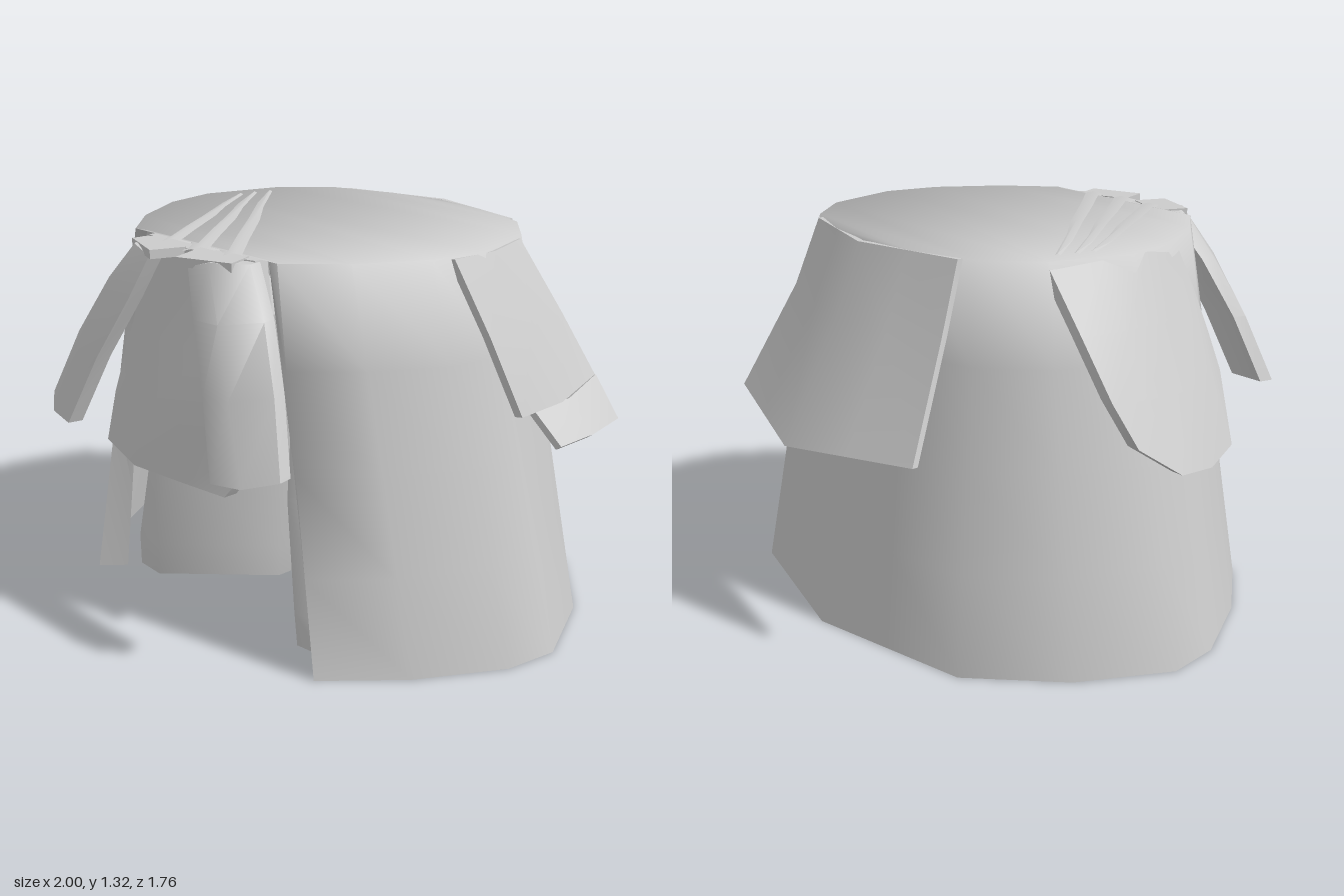
import * as THREE from 'three';
import { toCreasedNormals } from 'three/addons/utils/BufferGeometryUtils.js';

const cloth = new THREE.MeshStandardMaterial({ color: 0xcccccc, side: THREE.DoubleSide });
cloth.name = 'grey cloth';

// Skin a list of rings; each cap is a strip joining opposite points of its ring.
function loft(rings, { closed = true, capStart = false, capEnd = false, crease = 0.9 } = {}) {
  const n = rings[0].length, index = [];
  for (let i = 0; i < rings.length - 1; i++) {
    for (let j = 0; j < (closed ? n : n - 1); j++) {
      const a = i * n + j, b = i * n + (j + 1) % n;
      index.push(a, b, a + n, b, b + n, a + n);
    }
  }
  const cap = (base, flip) => {
    for (let j = 0; j < Math.floor(n / 2) - 1 + (n % 2); j++) {
      const a = base + j, b = a + 1, c = base + n - 2 - j, d = base + n - 1 - j;
      if (flip) index.push(a, c, b, a, d, c);
      else index.push(a, b, c, a, c, d);
    }
  };
  if (capStart) cap(0, true);
  if (capEnd) cap((rings.length - 1) * n, false);
  const g = new THREE.BufferGeometry();
  g.setAttribute('position', new THREE.Float32BufferAttribute(rings.flat(2), 3));
  g.setIndex(index);
  return toCreasedNormals(g, crease);
}

// Thick cloth sheet: rows of points, doubled by an inward offset.
function slab(rows, [dx, dy, dz]) {
  const rings = rows.map(r => [...r, ...r.map(([x, y, z]) => [x + dx, y + dy, z + dz]).reverse()]);
  return loft(rings, { capStart: true, capEnd: true });
}

const flipX = rows => rows.map(r => r.map(([x, y, z]) => [-x, y, z]).reverse());

export function createModel() {
  const model = new THREE.Group();
  const add = (name, geometry) => {
    const mesh = new THREE.Mesh(geometry, cloth);
    mesh.name = name;
    model.add(mesh);
    return mesh;
  };

  // Flared outer skirt, open at the front, with turned-in front edges and a soft top
  const hem = [[0.52, 0.57], [0.59, 0.65], [0.8, 0.42], [0.97, 0.14], [1, -0.05], [0.85, -0.36], [0.6, -0.63], [0.3, -0.7], [0, -0.77]];
  const waist = [[0.31, 0.57], [0.36, 0.58], [0.52, 0.42], [0.65, 0.2], [0.69, 0], [0.61, -0.28], [0.46, -0.44], [0.22, -0.52], [0, -0.55]];
  const whole = half => [...half, ...half.slice(0, -1).reverse().map(([x, z]) => [-x, z])];
  const H = whole(hem), W = whole(waist);
  const ring = t => H.map(([x, z], j) => [x + (W[j][0] - x) * t, 1.31 * t, z + (W[j][1] - z) * t]);
  add('skirt', loft([0, 0.25, 0.5, 0.75, 1].map(ring), { closed: false, capEnd: true, crease: 1.55 }));

  // Wide trouser legs with slanted inner fronts and closed bottoms
  const foot = [[0.67, 0.15], [0.67, -0.45], [0.25, -0.5], [0.06, -0.3], [0.06, 0.22], [0.38, 0.53], [0.5, 0.52], [0.62, 0.35]];
  const legRing = (y, k, shift) => foot.map(([x, z]) => [x * k + shift, y, z * k]);
  const leg = [legRing(0, 1, 0), legRing(0.12, 1.01, -0.01), legRing(0.5, 0.96, -0.05), legRing(1, 0.8, -0.04)];
  add('leftLeg', loft(leg, { capStart: true, capEnd: true, crease: 1.2 }));
  add('rightLeg', loft(flipX(leg), { capStart: true, capEnd: true, crease: 1.2 }));

  // Front apron
  add('apron', slab([
    [[-0.27, 1.305, 0.59], [-0.1, 1.305, 0.63], [0.1, 1.305, 0.63], [0.27, 1.305, 0.59]],
    [[-0.34, 1, 0.62], [-0.14, 1, 0.68], [0.14, 1, 0.68], [0.34, 1, 0.62]],
    [[-0.41, 0.74, 0.66], [-0.17, 0.74, 0.72], [0.17, 0.74, 0.72], [0.38, 0.74, 0.66]],
    [[-0.43, 0.56, 0.69], [-0.2, 0.54, 0.745], [0.06, 0.55, 0.74], [0.25, 0.55, 0.72]],
  ], [0, 0, -0.05]));

  // Hanging sash ends, mirrored
  const tie = [
    [[0.1, 1.28, 0.72], [0.19, 1.305, 0.71], [0.28, 1.3, 0.62]],
    [[0.17, 1.13, 0.76], [0.3, 1.14, 0.77], [0.4, 1.15, 0.67]],
    [[0.28, 0.92, 0.82], [0.4, 0.93, 0.82], [0.51, 0.95, 0.73]],
    [[0.38, 0.68, 0.88], [0.5, 0.69, 0.86], [0.6, 0.72, 0.79]],
  ];
  add('leftSashEnd', slab(tie, [-0.01, 0, -0.05]));
  add('rightSashEnd', slab(flipX(tie), [0.01, 0, -0.05]));

  // Knot lumps where the sash ends meet the waist
  for (const s of [-1, 1]) {
    const knot = add(s > 0 ? 'leftKnot' : 'rightKnot', new THREE.BoxGeometry(0.2, 0.03, 0.12));
    knot.position.set(s * 0.14, 1.293, 0.65);
    knot.rotation.y = s * 0.35;
  }

  // Back flap, flaring away from the skirt
  const backRow = (y, w, zEdge, zMid, drop) => [-1, -0.5, 0, 0.5, 1].map(u =>
    [u * w, y - drop * (1 - Math.abs(u)), zMid + (zEdge - zMid) * Math.abs(u)]);
  add('backFlap', slab([
    backRow(1.309, 0.41, -0.475, -0.575, 0),
    backRow(1.08, 0.44, -0.56, -0.67, 0.02),
    backRow(0.72, 0.53, -0.74, -0.88, 0.05),
  ], [0, 0, 0.02]));

  // Left side flap with its turned-out cuff
  add('leftSideFlap', slab([
    [[0.68, 1.305, 0.13], [0.69, 1.305, -0.05], [0.63, 1.305, -0.25]],
    [[0.8, 1.07, 0.09], [0.81, 1.07, -0.1], [0.77, 1.07, -0.31]],
    [[0.9, 0.82, 0.04], [0.91, 0.83, -0.15], [0.88, 0.87, -0.36]],
  ], [-0.03, -0.005, 0]));
  add('leftCuff', slab([
    [[0.89, 0.82, -0.035], [0.9, 0.83, -0.2], [0.88, 0.87, -0.365]],
    [[1, 0.73, -0.035], [1, 0.73, -0.2], [0.98, 0.74, -0.365]],
  ], [-0.02, -0.015, 0]));

  // Gathered drape over the right side, its front edge lying on the skirt
  add('rightDrape', slab([
    [[-0.6, 1.305, -0.28], [-0.66, 1.305, -0.1], [-0.68, 1.305, 0.06], [-0.65, 1.305, 0.18], [-0.6, 1.3, 0.27]],
    [[-0.76, 1.1, -0.27], [-0.78, 1.1, -0.1], [-0.78, 1.1, 0.06], [-0.74, 1.12, 0.2], [-0.675, 1.15, 0.29]],
    [[-0.88, 0.92, -0.25], [-0.88, 0.9, -0.1], [-0.89, 0.9, 0.06], [-0.84, 0.93, 0.21], [-0.725, 1.02, 0.31]],
    [[-0.95, 0.78, -0.2], [-1, 0.68, -0.06], [-0.99, 0.67, 0.08], [-0.94, 0.7, 0.22], [-0.77, 0.89, 0.33]],
  ], [0.05, 0, 0]));

  // Shallow folds fanning across the top from the right side to the knot
  const folds = [[-0.56, -0.2, 0.18, 0.6], [-0.58, -0.14, 0.04, 0.62], [-0.59, -0.08, -0.12, 0.61]];
  folds.forEach(([x0, z0, x1, z1], i) => {
    const across = (x, z, w) => [-1, 0, 1].map(u => [x + u * w * 0.75, 1.302 + 0.014 * (1 - Math.abs(u)), z - u * w * 0.65]);
    add('sashFold' + (i + 1), loft([
      across(x0, z0, 0.02), across((x0 + x1) / 2, (z0 + z1) / 2, 0.05), across(x1, z1, 0.06),
    ], { closed: false }));
  });

  return model;
}
